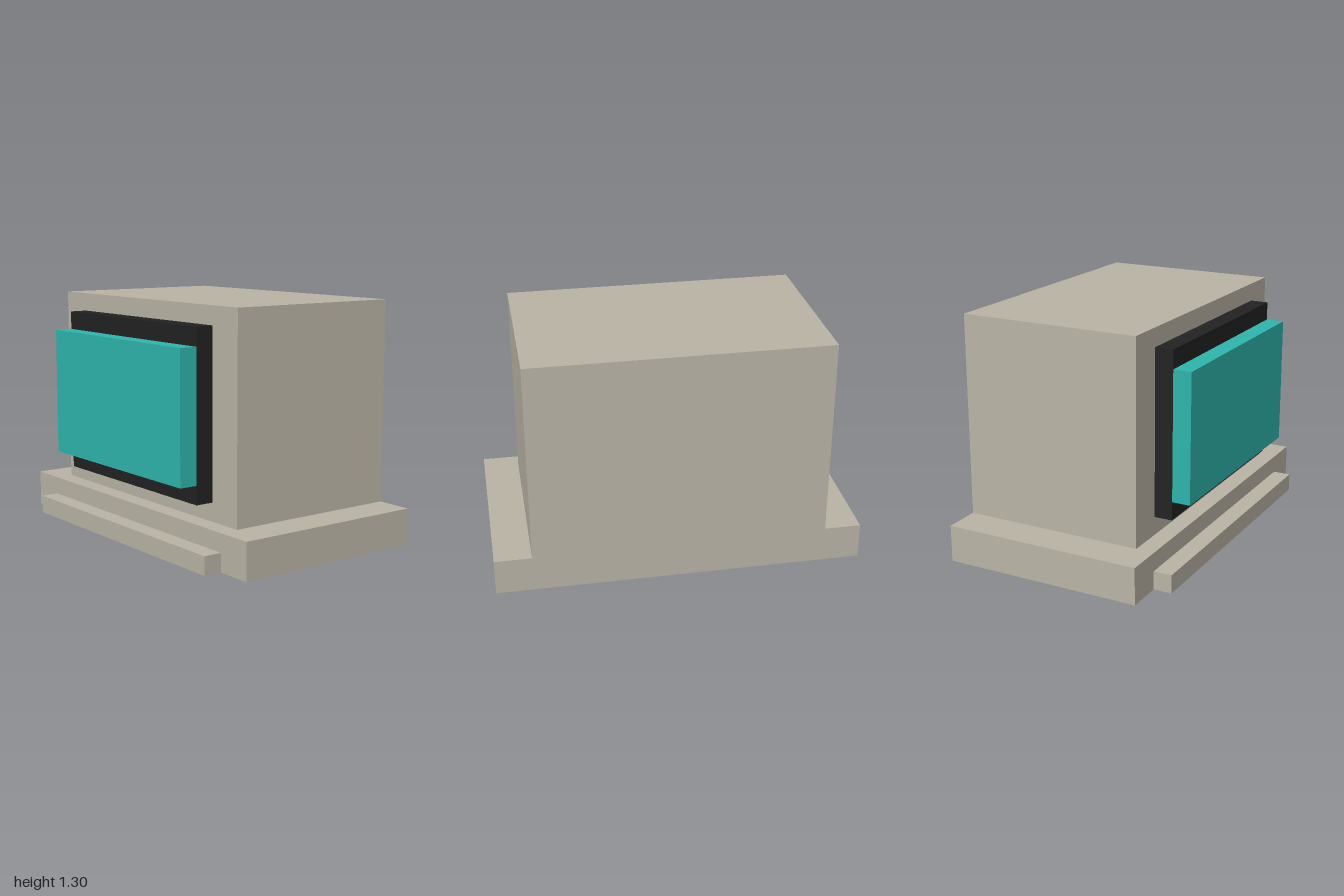
import * as THREE from 'three';

const material = (name, color) => {
  const m = new THREE.MeshStandardMaterial({ color });
  m.name = name;
  return m;
};

export function createModel() {
  const model = new THREE.Group();
  model.name = 'retroComputer';

  const beige = material('beige casing', 0xbab4a6);
  const black = material('black bezel', 0x222222);
  const teal = material('teal screen', 0x2eb5ac);

  // Box centred on x, given its width and its y and z ranges
  const addBox = (name, mat, width, [y0, y1], [z0, z1]) => {
    const mesh = new THREE.Mesh(new THREE.BoxGeometry(width, y1 - y0, z1 - z0), mat);
    mesh.position.set(0, (y0 + y1) / 2, (z0 + z1) / 2);
    mesh.name = name;
    model.add(mesh);
  };

  // Stepped base with a keyboard ledge in front
  addBox('base', beige, 2, [0, 0.2], [-0.6, 0.5]);
  addBox('keyboardLedge', beige, 1.6, [0, 0.1], [0.5, 0.6]);

  // Monitor housing, bezel and screen
  addBox('housing', beige, 1.6, [0.2, 1.3], [-0.6, 0.4]);
  addBox('bezel', black, 1.2, [0.3, 1.2], [0.4, 0.5]);
  addBox('screen', teal, 1.2, [0.4, 1.1], [0.5, 0.6]);

  return model;
}
